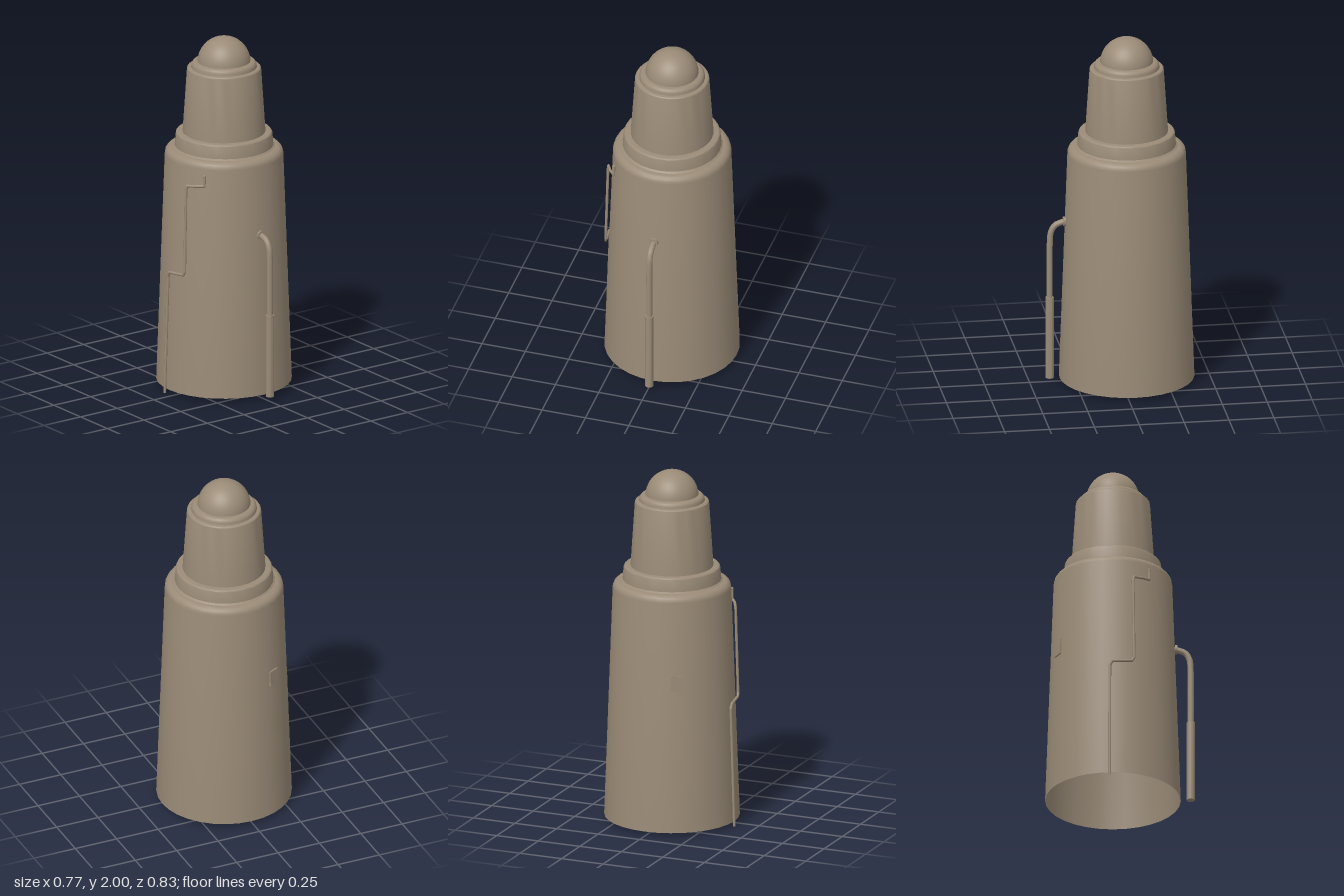
import * as THREE from 'three';
import { toCreasedNormals } from 'three/addons/utils/BufferGeometryUtils.js';

const CX = 0.007, CZ = -0.04; // axis of the tower

export function createModel() {
  const group = new THREE.Group();
  const paint = new THREE.MeshStandardMaterial({ color: 0x9a8b77, side: THREE.DoubleSide });
  paint.name = 'drab paint';

  const add = (name, geometry, x = 0, y = 0, z = 0) => {
    const mesh = new THREE.Mesh(geometry, paint);
    mesh.name = name;
    mesh.position.set(x, y, z);
    group.add(mesh);
    return mesh;
  };

  // Turned part on the tower axis, from [radius, height] pairs going upward
  const turned = (name, profile) => {
    const points = profile.map(([r, y]) => new THREE.Vector2(r, y));
    add(name, toCreasedNormals(new THREE.LatheGeometry(points, 32), 0.6), CX, 0, CZ);
  };

  // Quarter-round shoulder ending at the given top height
  const shoulder = (r, top, size, steps = 5) =>
    Array.from({ length: steps + 1 }, (_, i) => {
      const a = (i / steps) * Math.PI / 2;
      return [r - size + size * Math.cos(a), top - size + size * Math.sin(a)];
    });

  // Stepped tower, open underneath
  turned('body', [[0.374, 0.02], ...shoulder(0.327, 1.37, 0.04), [0.22, 1.37]]);
  turned('collar', [[0.285, 1.368], [0.272, 1.378], ...shoulder(0.267, 1.456, 0.015), [0.2, 1.456]]);
  turned('turret', [[0.229, 1.45], ...shoulder(0.205, 1.828, 0.012), [0.14, 1.828]]);
  turned('domeRing', [[0.182, 1.826], ...shoulder(0.18, 1.862, 0.025), [0.13, 1.862]]);
  add('dome', new THREE.SphereGeometry(0.147, 32, 16, 0, Math.PI * 2, 0, Math.PI / 2), CX, 1.853, CZ);

  // Bent pipe on the front, with a thicker sleeve below and a wall flange
  const pipePath = new THREE.CatmullRomCurve3([
    [0.29, 0.94], [0.325, 0.934], [0.36, 0.918], [0.382, 0.88], [0.388, 0.82], [0.389, 0.65], [0.389, 0.48],
  ].map(([z, y]) => new THREE.Vector3(CX, y, z)));
  add('frontPipe', new THREE.TubeGeometry(pipePath, 32, 0.017, 12));
  add('pipeSleeve', toCreasedNormals(new THREE.CylinderGeometry(0.023, 0.023, 0.472, 16), 0.6), CX, 0.262, 0.389);
  const flange = add('pipeFlange',
    toCreasedNormals(new THREE.CylinderGeometry(0.026, 0.026, 0.014, 16), 0.6), CX, 0.94, 0.308);
  flange.rotation.x = Math.PI / 2;

  // Thin cable running down the side, following the wall around at each jog
  const cablePoints = [
    [-0.268, 1.295, 0.155], [-0.27, 1.237, 0.155], [-0.302, 1.232, 0.115], [-0.326, 1.228, 0.07],
    [-0.33, 1.2, 0.066], [-0.342, 0.73, 0.071], [-0.345, 0.71, 0.06],
    [-0.358, 0.7, -0.05], [-0.357, 0.675, -0.063], [-0.379, 0.0, -0.065],
  ].map((p) => new THREE.Vector3(...p));
  const cablePath = new THREE.CurvePath();
  for (let i = 1; i < cablePoints.length; i++) {
    cablePath.add(new THREE.LineCurve3(cablePoints[i - 1], cablePoints[i]));
    if (i < cablePoints.length - 1) {
      add('cableBend', new THREE.SphereGeometry(0.008, 8, 6), ...cablePoints[i].toArray());
    }
  }
  cablePath.curves.forEach((line) => add('cable', new THREE.TubeGeometry(line, 1, 0.008, 8)));
  add('cableTip', new THREE.SphereGeometry(0.009, 10, 8), ...cablePoints[0].toArray());

  // Small plate on the back wall
  const plate = add('backPlate', new THREE.BoxGeometry(0.064, 0.09, 0.009), -0.155, 0.87, -0.345);
  plate.rotation.order = 'YXZ';
  plate.rotation.set(-0.036, Math.PI + 0.49, 0);

  return group;
}
